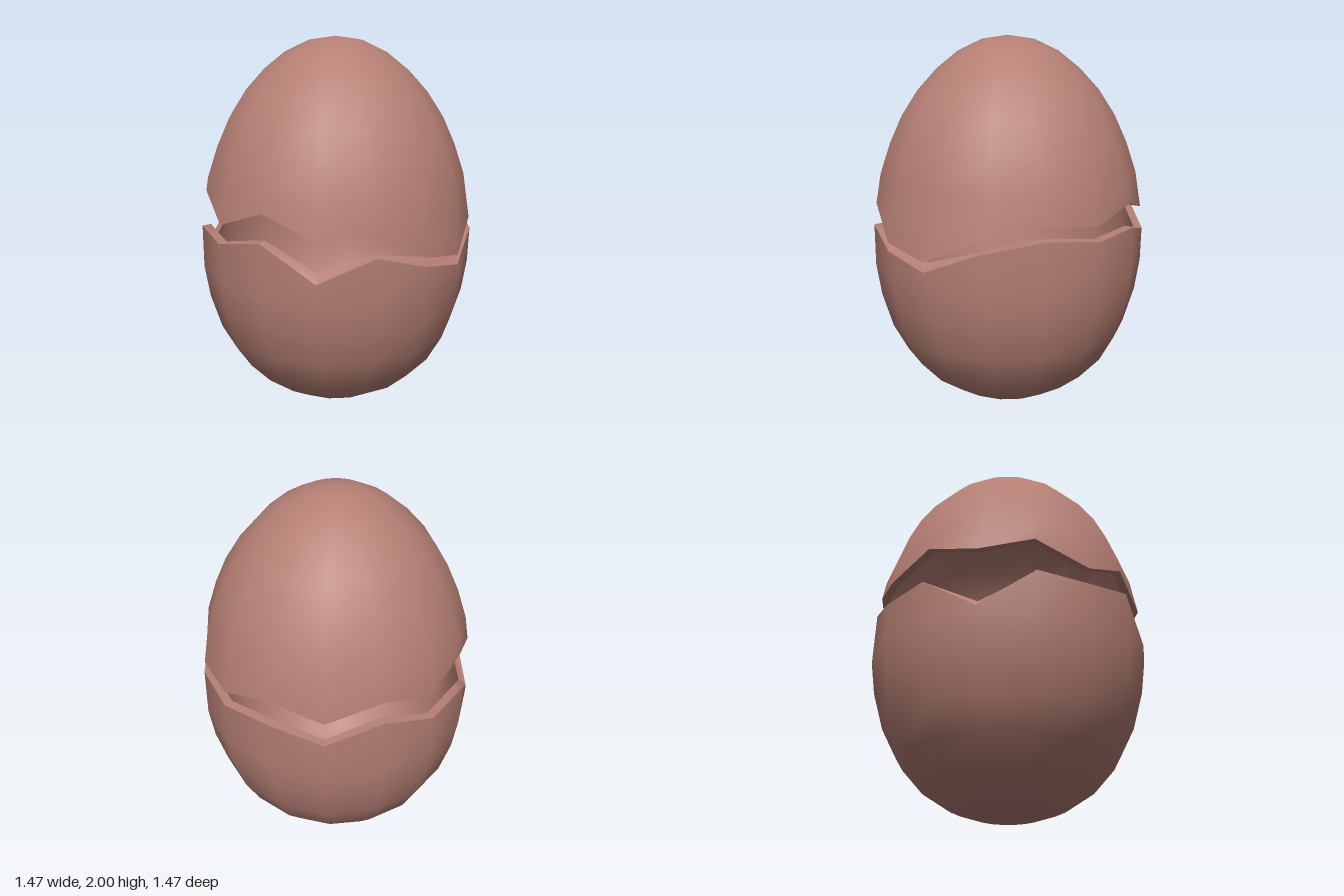
import * as THREE from 'three';
import { toCreasedNormals } from 'three/addons/utils/BufferGeometryUtils.js';

const SIDES = 16;
const WALL = 0.045;

// Egg profile as [radius, height], bottom to top
const PROFILE = [
  [0, 0.005], [0.16, 0.015], [0.30, 0.06], [0.455, 0.16], [0.572, 0.29], [0.652, 0.44],
  [0.708, 0.63], [0.733, 0.8], [0.737, 0.9], [0.736, 1.0], [0.72, 1.12], [0.69, 1.29],
  [0.635, 1.45], [0.57, 1.59], [0.484, 1.72], [0.382, 1.83], [0.268, 1.92], [0.14, 1.98], [0, 2],
];

// Crack heights around the egg, from the front towards the left side
const LOWER_CRACK = [0.94, 0.885, 1.0, 1.06, 1.03, 1.045, 0.98, 1.08, 1.01, 1.03, 0.845, 1.03, 1.01, 1.07, 0.9, 1.02];
const UPPER_CRACK = [0.985, 0.935, 1.06, 1.12, 1.105, 1.17, 1.1, 1.19, 1.14, 1.23, 1.16, 1.22, 1.105, 1.21, 1.1, 1.135];

function radiusAt(y) {
  const k = Math.max(1, PROFILE.findIndex((p) => p[1] >= y));
  const [r0, y0] = PROFILE[k - 1];
  const [r1, y1] = PROFILE[k];
  return THREE.MathUtils.mapLinear(y, y0, y1, r0, r1);
}

// Angle of one side; the crack edge is slightly irregular at the front
function angleOf(i, onCrack) {
  const shift = onCrack ? [-1.5, -3, -3][i] || 0 : 0;
  return THREE.MathUtils.degToRad((i * 360) / SIDES + shift);
}

function ring(onCrack, sample) {
  return Array.from({ length: SIDES }, (_, i) => {
    const a = angleOf(i, onCrack);
    const [r, y] = sample(i);
    return new THREE.Vector3(r * Math.sin(a), y, r * Math.cos(a));
  });
}

// Move a profile point inwards by the wall thickness
function inset([r, y]) {
  const s = 1 - WALL / 0.735;
  return [r * s, 0.9 + (y - 0.9) * (1 - WALL / 1.0)];
}

// Closed half shell: outer wall, broken rim, inner wall
function shellGeometry(profile, crack, lift, reverse) {
  const outer = profile.map((p) => ring(false, () => p));
  const inner = profile.map((p) => ring(false, () => inset(p))).reverse();
  const rimOuter = ring(true, (i) => [radiusAt(crack[i]), crack[i]]);
  const rimInner = ring(true, (i) => [radiusAt(crack[i]) - WALL, crack[i] + lift(crack[i])]);
  const rings = [...outer, rimOuter, rimInner, ...inner];
  if (reverse) rings.reverse();

  const index = [];
  const last = rings.length - 1;
  for (let j = 0; j < last; j++) {
    for (let i = 0; i < SIDES; i++) {
      const n = (i + 1) % SIDES;
      const a = j * SIDES + i, b = j * SIDES + n;
      const c = b + SIDES, d = a + SIDES;
      if (j > 0) index.push(a, b, j === last - 1 ? d : c);
      if (j < last - 1) index.push(a, c, d);
    }
  }
  const geometry = new THREE.BufferGeometry().setFromPoints(rings.flat());
  geometry.setIndex(index);
  return toCreasedNormals(geometry, 0.7);
}

export function createModel() {
  const egg = new THREE.Group();
  egg.name = 'crackedEgg';
  const material = new THREE.MeshStandardMaterial({ color: 0xb57f74 });

  // Lower half, its rim sloping up inwards in the deep notches
  const lower = new THREE.Mesh(
    shellGeometry(PROFILE.slice(0, 8), LOWER_CRACK, (y) => (y < 0.97 ? 0.04 : 0.005), false),
    material,
  );
  lower.name = 'lowerShell';

  // Upper half, listed from the tip down to the crack
  const upper = new THREE.Mesh(
    shellGeometry(PROFILE.slice(11).reverse(), UPPER_CRACK, () => 0.005, true),
    material,
  );
  upper.name = 'upperShell';

  egg.add(lower, upper);
  return egg;
}
